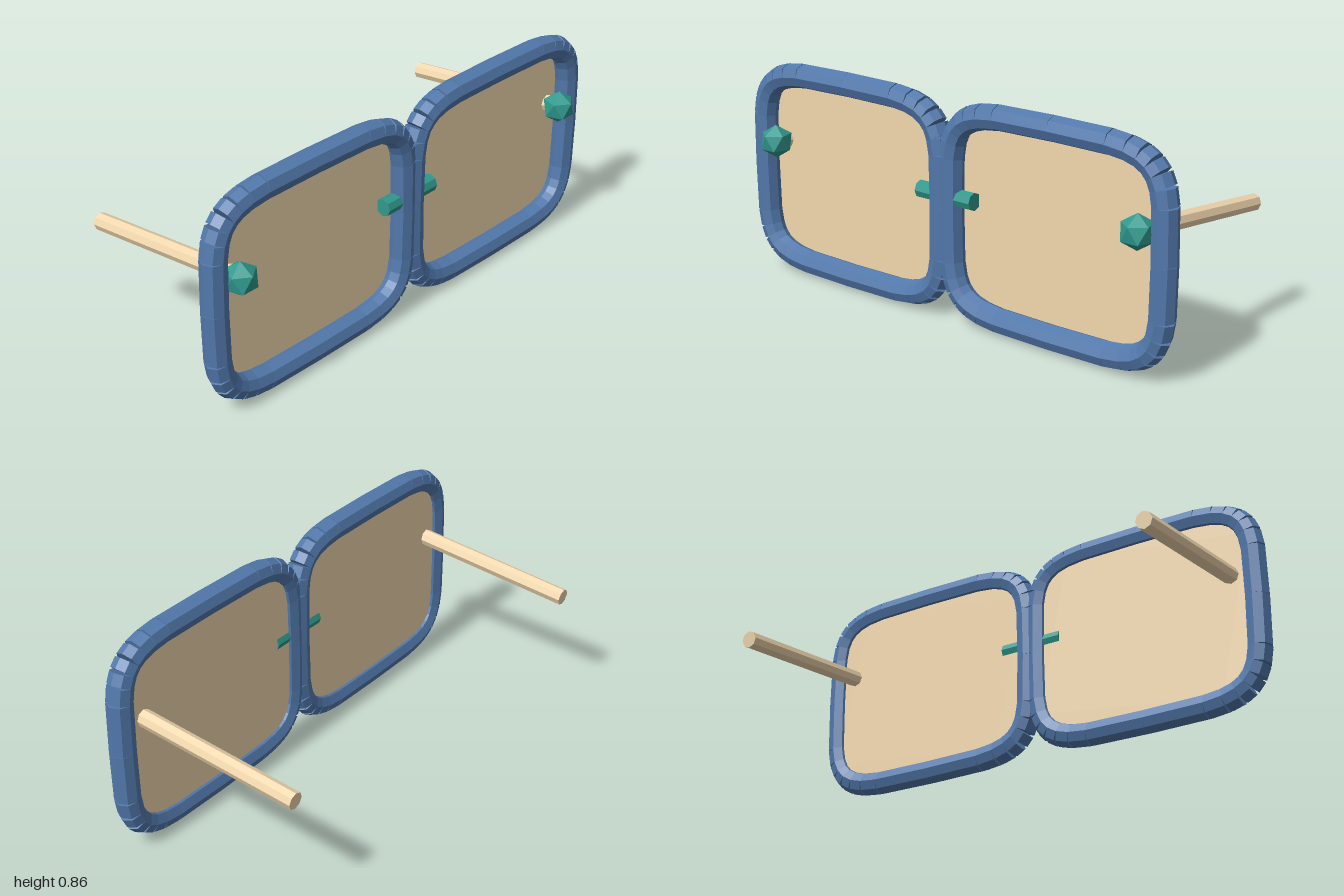
import * as THREE from 'three';

const mat = (color, extra = {}) =>
  new THREE.MeshStandardMaterial({ color, flatShading: true, ...extra });

const FRONT_Z = 0.3, LENS_Z = 0.275, MID_Y = 0.4285, LENS_X = 0.487;
const HALF_W = 0.465, HALF_H = 0.38, RIM_R = 0.048;

// Rounded-rectangle outline (superellipse, exponent 5)
function outline(count) {
  const bend = v => Math.sign(v) * Math.abs(v) ** 0.4;
  return Array.from({ length: count }, (_, i) => {
    const t = (i / count) * Math.PI * 2;
    return new THREE.Vector2(HALF_W * bend(Math.cos(t)), HALF_H * bend(Math.sin(t)));
  });
}

// Eight-sided rod between two points
function rod(name, a, b, radius, material) {
  const dir = b.clone().sub(a);
  const mesh = new THREE.Mesh(new THREE.CylinderGeometry(radius, radius, dir.length(), 8), material);
  mesh.name = name;
  mesh.position.copy(a).lerp(b, 0.5);
  mesh.quaternion.setFromUnitVectors(new THREE.Vector3(0, 1, 0), dir.normalize());
  return mesh;
}

export function createModel() {
  const model = new THREE.Group();
  model.name = 'glasses';
  const blue = mat(0x5279ac);
  const tan = mat(0xf2d8ae);
  const teal = mat(0x2f9a8e);
  const lensMat = mat(0xf2d8ae, { side: THREE.DoubleSide });
  const points = outline(32);

  for (const side of [-1, 1]) {
    const label = side > 0 ? 'left' : 'right';

    // Rim: straight rods laid end to end, open wedges on the outside of the bends
    const rim = new THREE.Group();
    rim.name = label + 'Rim';
    rim.position.set(side * LENS_X, MID_Y, FRONT_Z);
    points.forEach((p, i) => {
      const q = points[(i + 1) % points.length];
      const mesh = new THREE.Mesh(new THREE.CylinderGeometry(RIM_R, RIM_R, p.distanceTo(q), 8), blue);
      mesh.name = 'rimSegment';
      mesh.position.set((p.x + q.x) / 2, (p.y + q.y) / 2, 0);
      mesh.rotation.z = Math.atan2(q.y - p.y, q.x - p.x) - Math.PI / 2;
      rim.add(mesh);
    });
    model.add(rim);

    // Lens: thin sheet set towards the back of the rim
    const lens = new THREE.Mesh(new THREE.ShapeGeometry(new THREE.Shape(points)), lensMat);
    lens.name = label + 'Lens';
    lens.position.set(side * LENS_X, MID_Y, LENS_Z);
    model.add(lens);

    // Temple arm sloping down towards the back
    model.add(rod(label + 'Temple',
      new THREE.Vector3(side * 0.863, 0.535, 0.33),
      new THREE.Vector3(side * 0.863, 0.457, -0.388), 0.033, tan));

    // Hinge stud: icosahedron standing on a corner
    const stud = new THREE.Mesh(new THREE.IcosahedronGeometry(0.066, 0), teal);
    stud.name = label + 'HingeStud';
    stud.position.set(side * 0.863, 0.531, 0.334);
    stud.rotation.x = -Math.atan((1 + Math.sqrt(5)) / 2);
    model.add(stud);
  }

  // Bridge between the lenses
  model.add(rod('bridge',
    new THREE.Vector3(-0.13, 0.475, 0.3),
    new THREE.Vector3(0.13, 0.475, 0.3), 0.034, teal));

  return model;
}
